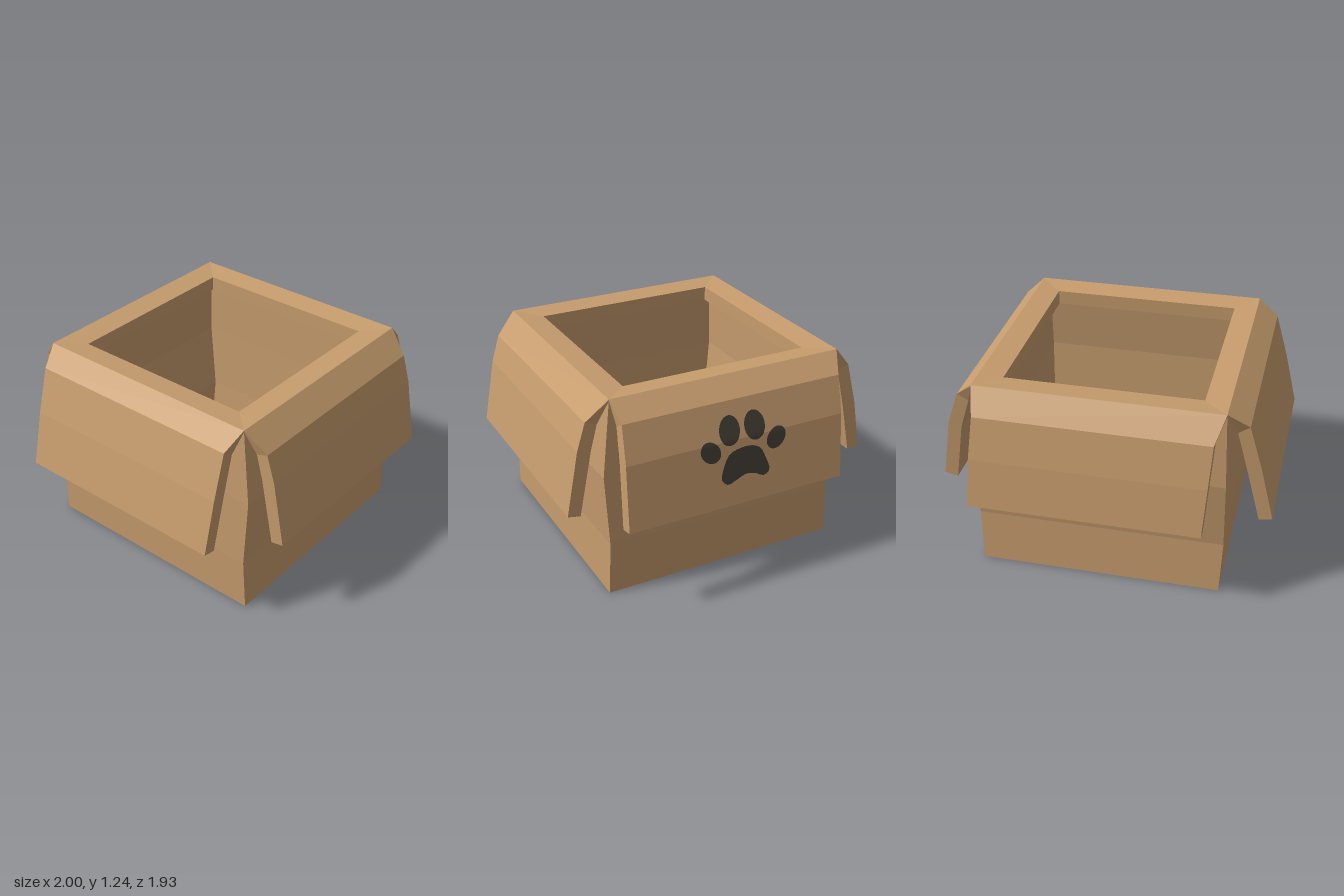
import * as THREE from 'three';

// Lofts four-cornered rings (front left, front right, back right, back left) into a flat-shaded solid.
function loft(rings) {
  const pos = [];
  const quad = (a, b, c, d) => pos.push(...a, ...b, ...c, ...a, ...c, ...d);
  for (let i = 0; i < rings.length - 1; i++) {
    for (let k = 0; k < 4; k++) {
      const n = (k + 1) % 4;
      quad(rings[i][k], rings[i][n], rings[i + 1][n], rings[i + 1][k]);
    }
  }
  quad(...[...rings[0]].reverse());
  quad(...rings[rings.length - 1]);
  const geo = new THREE.BufferGeometry();
  geo.setAttribute('position', new THREE.Float32BufferAttribute(pos, 3));
  geo.computeVertexNormals();
  return geo;
}

const boxRing = (y, x0, x1, z0, z1) => [[x0, y, z1], [x1, y, z1], [x1, y, z0], [x0, y, z0]];

// Flap rows, rim to hem: [outer distance, y, inner distance, y, start, end along the edge]
const FLAPS = {
  frontFlap: [0, [
    [0.72, 1.24, 0.72, 1.23, -0.715, 0.745],
    [0.845, 1.11, 0.775, 1.085, -0.67, 0.70],
    [0.896, 0.943, 0.815, 0.93, -0.67, 0.70],
    [0.967, 0.55, 0.89, 0.535, -0.67, 0.70]]],
  leftFlap: [1, [
    [0.745, 1.24, 0.745, 1.23, -0.72, 0.748],
    [0.858, 1.134, 0.79, 1.096, -0.70, 0.69],
    [0.933, 0.92, 0.855, 0.90, -0.715, 0.675],
    [0.997, 0.54, 0.917, 0.524, -0.73, 0.655]]],
  backFlap: [2, [
    [0.75, 1.24, 0.75, 1.23, -0.745, 0.715],
    [0.87, 1.104, 0.795, 1.08, -0.71, 0.665],
    [0.925, 0.85, 0.84, 0.84, -0.73, 0.65],
    [0.967, 0.55, 0.89, 0.54, -0.745, 0.63]]],
  rightFlap: [3, [
    [0.715, 1.24, 0.715, 1.23, -0.748, 0.72],
    [0.84, 1.144, 0.773, 1.10, -0.695, 0.685],
    [0.92, 0.87, 0.84, 0.85, -0.693, 0.683],
    [1.0, 0.54, 0.922, 0.524, -0.69, 0.68]]],
};

function flapGeometry(rows) {
  const rings = rows.map(([o, oy, i, iy, a, b]) => [[a, oy, o], [b, oy, o], [b, iy, i], [a, iy, i]]);
  return loft(rings.reverse());
}

// Distance of a flap's outer face at height y
function flapSurface(rows, y) {
  let i = 0;
  while (i < rows.length - 2 && y < rows[i + 1][1]) i++;
  const [a, b] = [rows[i], rows[i + 1]];
  return THREE.MathUtils.mapLinear(y, a[1], b[1], a[0], b[0]);
}

// Thin painted patch that follows a flap; the outline is given round its centre
function patchGeometry(rows, cx, cy, outline) {
  const n = 32, rings = 8;
  const curve = new THREE.CatmullRomCurve3(outline.map(([x, y]) => new THREE.Vector3(x, y, 0)), true);
  const geo = new THREE.RingGeometry(0, 1, n, rings);
  const p = geo.attributes.position;
  for (let j = 0; j <= rings; j++) {
    for (let i = 0; i <= n; i++) {
      const v = curve.getPoint((i % n) / n).multiplyScalar(j / rings);
      const y = cy + v.y;
      p.setXYZ(j * (n + 1) + i, cx + v.x, y, flapSurface(rows, y) + 0.005);
    }
  }
  geo.computeVertexNormals();
  return geo;
}

function ellipse(rx, ry, tilt) {
  return Array.from({ length: 12 }, (_, i) => {
    const t = i / 12 * Math.PI * 2, x = rx * Math.cos(t), y = ry * Math.sin(t);
    return [x * Math.cos(tilt) - y * Math.sin(tilt), x * Math.sin(tilt) + y * Math.cos(tilt)];
  });
}

export function createModel() {
  const cardboard = new THREE.MeshStandardMaterial({ color: 0xc69c6d });
  cardboard.name = 'cardboard';
  const darkPrint = new THREE.MeshStandardMaterial({ color: 0x443d35 });
  darkPrint.name = 'darkPrint';
  const model = new THREE.Group();
  model.name = 'openCardboardBox';
  const add = (name, geo, mat, parent = model) => {
    const mesh = new THREE.Mesh(geo, mat);
    mesh.name = name;
    parent.add(mesh);
    return mesh;
  };

  // Box: outer walls, rim, lip, then the hollow down to the floor
  add('boxBody', loft([
    boxRing(0, -0.72, 0.75, -0.748, 0.748),
    boxRing(0.335, -0.733, 0.76, -0.73, 0.74),
    boxRing(0.775, -0.733, 0.76, -0.775, 0.77),
    boxRing(1.24, -0.715, 0.745, -0.75, 0.72),
    boxRing(1.225, -0.57, 0.60, -0.60, 0.57),
    boxRing(1.135, -0.57, 0.60, -0.60, 0.57),
    boxRing(1.135, -0.65, 0.68, -0.68, 0.65),
    boxRing(0.775, -0.655, 0.685, -0.69, 0.68),
    boxRing(0.335, -0.655, 0.685, -0.655, 0.66),
    boxRing(0.08, -0.645, 0.675, -0.67, 0.67),
  ]), cardboard);

  // Folded-out flaps, one per side
  for (const [name, [turn, rows]] of Object.entries(FLAPS)) {
    add(name, flapGeometry(rows), cardboard).rotation.y = turn * Math.PI / 2;
  }

  // Paw print on the left flap
  const paw = new THREE.Group();
  paw.name = 'pawPrint';
  paw.rotation.y = Math.PI / 2;
  model.add(paw);
  const rows = FLAPS.leftFlap[1];
  const toes = [
    [-0.203, 0.88, 0.056, 0.07, 0.8], [-0.072, 0.977, 0.066, 0.083, -0.1],
    [0.09, 0.977, 0.066, 0.083, 0.1], [0.222, 0.88, 0.056, 0.07, -0.8],
  ];
  for (const [x, y, rx, ry, tilt] of toes) {
    add('pawToe', patchGeometry(rows, x, y, ellipse(rx, ry, tilt)), darkPrint, paw);
  }
  add('pawPad', patchGeometry(rows, 0.012, 0.775, [
    [0.135, 0.0], [0.105, 0.065], [0.05, 0.093], [-0.03, 0.093], [-0.1, 0.07], [-0.14, 0.0],
    [-0.157, -0.065], [-0.12, -0.103], [-0.06, -0.085], [0, -0.065], [0.06, -0.075],
    [0.115, -0.1], [0.155, -0.075],
  ]), darkPrint, paw);

  return model;
}
